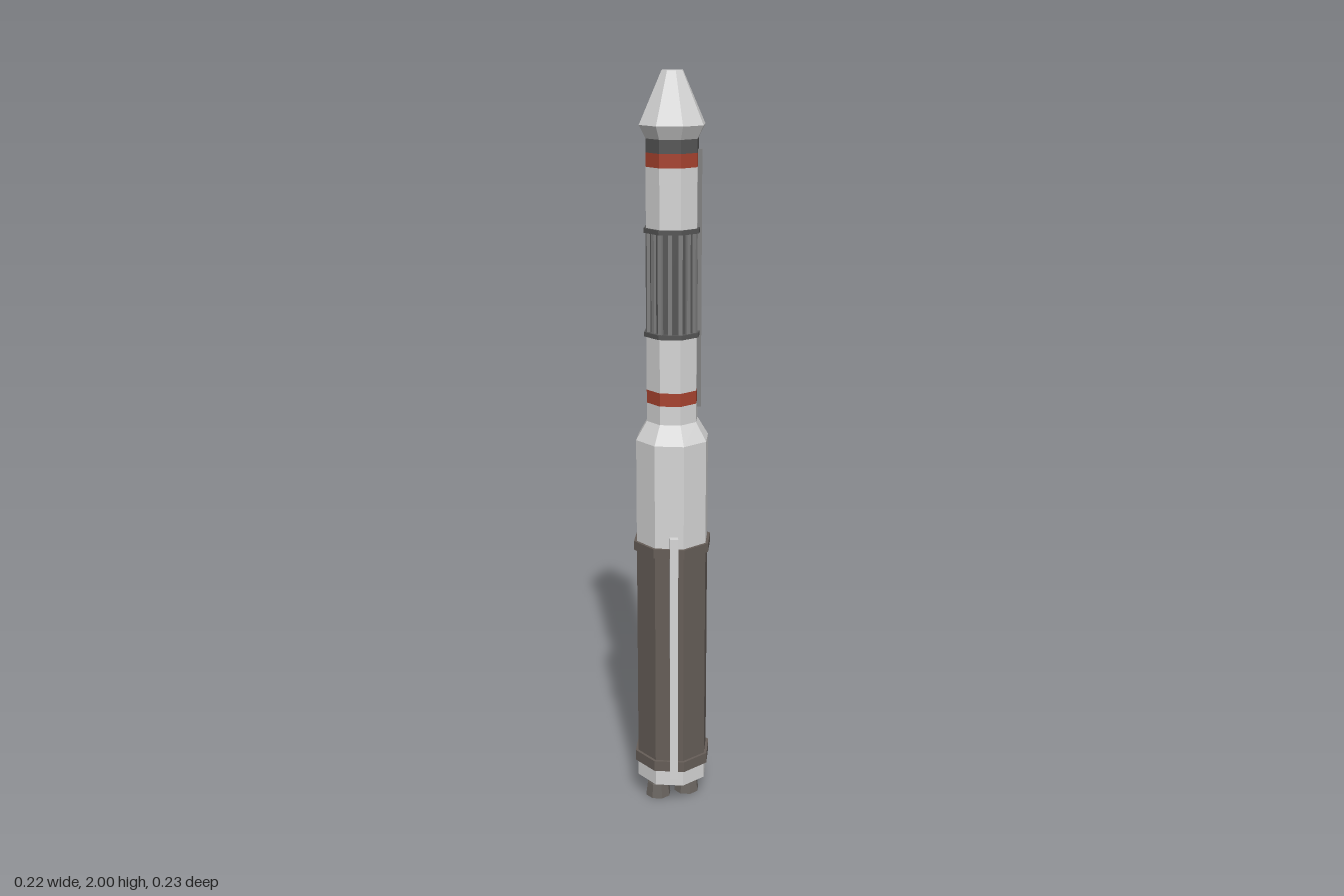
import * as THREE from 'three';

const mat = (name, color) => {
  const m = new THREE.MeshStandardMaterial({ color, flatShading: true });
  m.name = name;
  return m;
};

export function createModel() {
  const white = mat('lightGrey', 0xd6d6d6);
  const jacket = mat('brownGrey', 0x665e58);
  const red = mat('red', 0xa8432f);
  const dark = mat('darkGrey', 0x565656);
  const lattice = mat('midGrey', 0x808080);
  const bell = mat('engineGrey', 0x6b6661);
  const soot = mat('black', 0x1c1a19);
  soot.side = THREE.DoubleSide;

  const rocket = new THREE.Group();
  rocket.name = 'rocket';

  const add = (name, geometry, material, x = 0, y = 0, z = 0, parent = rocket) => {
    const mesh = new THREE.Mesh(geometry, material);
    mesh.name = name;
    mesh.position.set(x, y, z);
    parent.add(mesh);
    return mesh;
  };

  // Octagonal section between two heights
  const section = (name, y0, y1, r0, r1, material) =>
    add(name, new THREE.CylinderGeometry(r1, r0, y1 - y0, 8), material, 0, (y0 + y1) / 2, 0);

  // First stage
  section('aftSkirt', 0.07, 0.117, 0.1, 0.1, white);
  section('tankJacket', 0.117, 0.777, 0.1, 0.1, jacket);
  section('lowerCollar', 0.117, 0.147, 0.108, 0.108, jacket);
  section('upperCollar', 0.752, 0.777, 0.108, 0.108, jacket);
  section('forwardTank', 0.777, 1.06, 0.1, 0.1, white);
  section('shoulder', 1.06, 1.11, 0.1, 0.07, white);

  // Second stage
  section('lowerNeck', 1.11, 1.16, 0.07, 0.07, white);
  section('lowerStripe', 1.16, 1.195, 0.07, 0.07, red);
  section('lowerStageBody', 1.195, 1.345, 0.07, 0.07, white);
  section('interstageCore', 1.345, 1.61, 0.063, 0.063, dark);
  section('upperStageBody', 1.61, 1.768, 0.07, 0.07, white);
  section('upperStripe', 1.768, 1.803, 0.07, 0.07, red);
  section('payloadAdapter', 1.803, 1.837, 0.07, 0.07, dark);
  for (const y of [1.343, 1.61]) section('interstageRing', y - 0.006, y + 0.006, 0.076, 0.076, dark);

  // Vertical ribs around the interstage, on corners and flats
  for (let i = 0; i < 16; i++) {
    const a = (i * Math.PI) / 8;
    const r = i % 2 ? 0.0605 : 0.0645;
    const rib = add('interstageRib', new THREE.BoxGeometry(0.011, 0.265, 0.01), lattice,
      Math.sin(a) * r, 1.4775, Math.cos(a) * r);
    rib.rotation.y = a;
  }

  // Nose fairing
  section('fairingFlare', 1.837, 1.87, 0.07, 0.087, white);
  section('fairingCone', 1.87, 2.0, 0.087, 0.028, white);

  // Cable conduits on opposite sides of the first stage
  for (const side of [1, -1]) {
    const a = 0.27;
    const conduit = add('tankConduit', new THREE.BoxGeometry(0.022, 0.71, 0.02), white,
      -0.027 * side, 0.455, 0.1 * side);
    conduit.rotation.y = -a;
  }

  // Narrow conduit along the second stage
  const upperConduit = add('stageConduit', new THREE.BoxGeometry(0.012, 0.665, 0.014), lattice, 0.066, 1.4775, 0.02);
  upperConduit.rotation.y = -0.3;

  // Twin engine bells, open at the bottom
  const profile = [[0.018, 0.075], [0.023, 0.06], [0.031, 0.04], [0.036, 0]]
    .map(([r, y]) => new THREE.Vector2(r, y));
  for (const side of [1, -1]) {
    const engine = new THREE.Group();
    engine.name = 'engine';
    engine.position.x = 0.042 * side;
    rocket.add(engine);
    add('bellShell', new THREE.LatheGeometry([...profile].reverse(), 8), bell, 0, 0, 0, engine);
    const inner = profile.map((p) => new THREE.Vector2(p.x - 0.003, p.y));
    add('bellInterior', new THREE.LatheGeometry(inner, 8), soot, 0, 0, 0, engine);
    const lip = new THREE.RingGeometry(0.033, 0.036, 8).rotateX(Math.PI / 2);
    add('bellLip', lip, bell, 0, 0, 0, engine);
  }

  return rocket;
}
